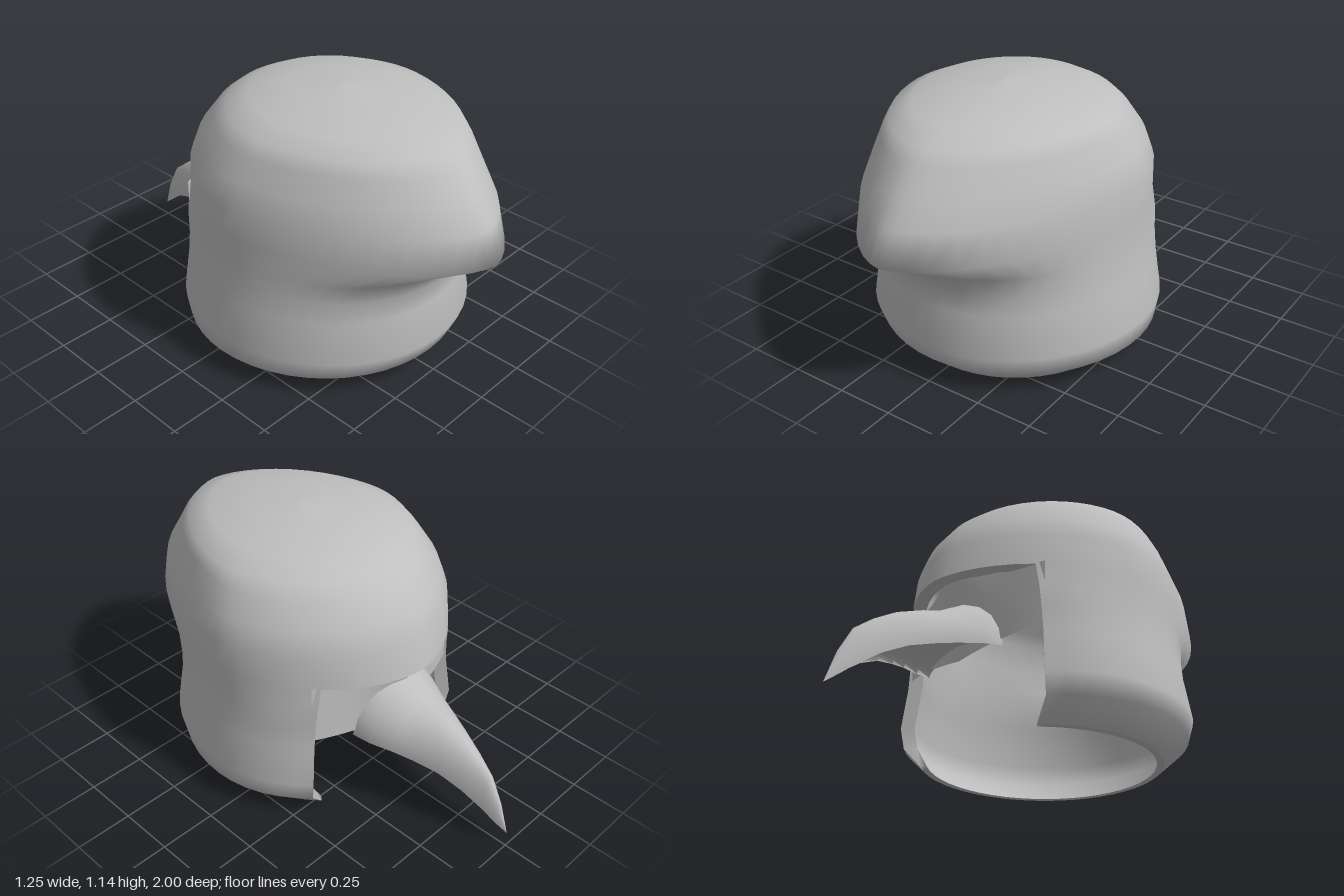
import * as THREE from 'three';

const grey = new THREE.MeshStandardMaterial({ color: 0xbfbfbf });
grey.name = 'helmet grey';
const greyThin = grey; // one colour for every part
greyThin.side = THREE.DoubleSide;

// Helmet rings: height, half width, rear z, face-side z, rear exponent, face exponent
const RINGS = [
  [0, 0.5, 0.62, -0.43, 2, 2],
  [0.09, 0.612, 0.72, -0.47, 2, 2],
  [0.18, 0.625, 0.76, -0.49, 2, 2],
  [0.36, 0.595, 0.73, -0.47, 2, 2],
  [0.46, 0.583, 0.735, -0.47, 2, 2],
  [0.55, 0.577, 0.79, -0.48, 1.9, 2],
  [0.66, 0.576, 1.0, -0.51, 1.6, 1.75],
  [0.8, 0.576, 0.955, -0.48, 1.6, 1.8],
  [0.9, 0.54, 0.88, -0.44, 1.65, 1.8],
  [1.0, 0.487, 0.81, -0.36, 1.7, 1.85],
  [1.055, 0.45, 0.755, -0.29, 1.75, 1.9],
  [1.1, 0.35, 0.64, -0.2, 1.9, 2],
  [1.13, 0.18, 0.42, -0.04, 2, 2],
  [1.145, 0, 0.2, 0.2, 2, 2],
];
const COLS = 48, GAP_START = 30, GAP_END = 42, BROW = 6;

// A point on ring i, column j, moved inward by d
function ringPoint(i, j, d) {
  let [y, a, zr, zf, pr, pf] = RINGS[i];
  if (i === 0) d *= 0.5;
  if (i >= 8) y -= d * 0.8;
  if (a === 0) d = 0;
  const t = (j / COLS) * Math.PI * 2;
  const c = Math.cos(t), s = Math.sin(t);
  const p = s >= 0 ? pr : pf;
  const mid = 0.1 + 0.1 * Math.max(0, (RINGS[i][0] - 0.9) / 0.245);
  const depth = s >= 0 ? zr - d - mid : mid - zf - d;
  const bend = (v) => Math.sign(v) * Math.pow(Math.abs(v), 2 / p);
  return [(a - d) * bend(c), y, mid + depth * bend(s)];
}

function makeGeometry(positions, index) {
  const g = new THREE.BufferGeometry();
  g.setAttribute('position', new THREE.Float32BufferAttribute(positions, 3));
  g.setIndex(index);
  g.computeVertexNormals();
  return g;
}

// Faces between rows of points; skip(i, j) leaves holes
function gridIndex(rows, cols, closed, flip, skip = () => false) {
  const index = [];
  for (let i = 0; i < rows - 1; i++) {
    for (let j = 0; j < (closed ? cols : cols - 1); j++) {
      if (skip(i, j)) continue;
      const k = (j + 1) % cols;
      const a = i * cols + j, b = i * cols + k, c = a + cols, e = b + cols;
      if (flip) index.push(a, b, c, b, e, c);
      else index.push(a, c, b, b, c, e);
    }
  }
  return index;
}

function shell(d, flip) {
  const pos = [];
  RINGS.forEach((_, i) => {
    for (let j = 0; j < COLS; j++) pos.push(...ringPoint(i, j, d));
  });
  const inGap = (i, j) => i < BROW && j >= GAP_START && j < GAP_END;
  return makeGeometry(pos, gridIndex(RINGS.length, COLS, true, flip, inGap));
}

// Thickness strip round the neck and the face opening
function rim(d) {
  const path = [];
  for (let j = GAP_END; j <= GAP_START + COLS; j++) path.push([0, j]);
  for (let i = 1; i <= BROW; i++) path.push([i, GAP_START]);
  for (let j = GAP_START + 1; j <= GAP_END; j++) path.push([BROW, j]);
  for (let i = BROW - 1; i > 0; i--) path.push([i, GAP_END]);
  const pos = [0, d].flatMap((o) => path.flatMap(([i, j]) => ringPoint(i, j, o)));
  return makeGeometry(pos, gridIndex(2, path.length, true, false));
}

// Curved face plate under the brow, hollowed beside the nose
function facePlate() {
  const pos = [], rows = 7, cols = 25;
  for (let i = 0; i < rows; i++) {
    const v = i / (rows - 1);
    for (let j = 0; j < cols; j++) {
      const u = 1 - (2 * j) / (cols - 1), m = Math.abs(u);
      const bottom = 0.34 + 0.06 * m;
      const hollow = 0.05 * Math.sin(Math.PI * m) * v;
      pos.push(0.42 * u, bottom + (0.67 - bottom) * v,
        -0.29 - (0.08 + 0.08 * v) * (1 - m * m) + hollow);
    }
  }
  return makeGeometry(pos, gridIndex(rows, cols, false, false));
}

// Hooked beak: z, top, bottom, half width
function beak() {
  const stations = [
    [-0.34, 0.6, 0.345, 0.23],
    [-0.42, 0.565, 0.335, 0.212],
    [-0.52, 0.51, 0.32, 0.17],
    [-0.6, 0.487, 0.303, 0.138],
    [-0.7, 0.45, 0.275, 0.1],
    [-0.8, 0.39, 0.225, 0.068],
    [-0.89, 0.32, 0.16, 0.038],
    [-0.95, 0.21, 0.11, 0.02],
    [-1, 0.07, 0.07, 0],
  ];
  const pos = [], n = 20;
  for (const [z, top, bottom, w] of stations) {
    for (let j = 0; j < n; j++) {
      const t = (j / n) * Math.PI * 2, s = Math.sin(t), h = top - bottom;
      // arched top, slightly hollow underside
      pos.push(w * Math.cos(t), bottom + h * (s >= 0 ? s : -0.25 * s), z);
    }
  }
  return makeGeometry(pos, gridIndex(stations.length, n, true, false));
}

export function createModel() {
  const model = new THREE.Group();
  model.name = 'beakedHelmet';
  const thickness = 0.06;
  const parts = {
    outerShell: shell(0, false),
    innerLining: shell(thickness, true),
    rim: rim(thickness),
    facePlate: facePlate(),
    beak: beak(),
  };
  for (const [name, geometry] of Object.entries(parts)) {
    const mesh = new THREE.Mesh(geometry, grey);
    mesh.name = name;
    model.add(mesh);
  }
  return model;
}
